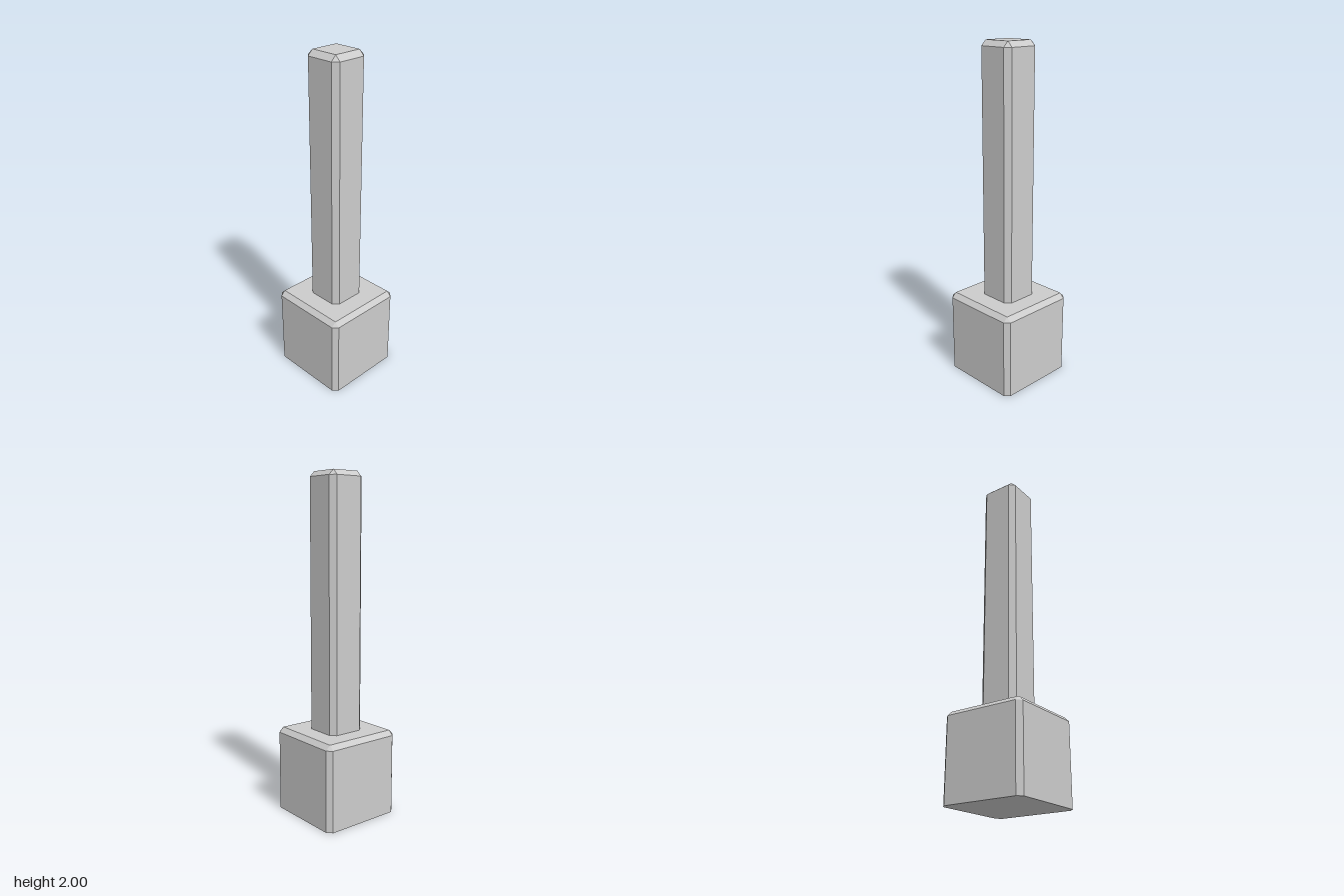
import * as THREE from 'three';
import { ConvexGeometry } from 'three/addons/geometries/ConvexGeometry.js';

const material = new THREE.MeshStandardMaterial({ color: 0xcccccc, flatShading: true });

// Square block with chamfered upright and top edges and a plain flat bottom
function chamferedBlock(name, half, bottom, top, chamfer) {
  const inner = half - chamfer;
  const points = [];
  for (const sx of [-1, 1]) {
    for (const sz of [-1, 1]) {
      for (const y of [bottom, top - chamfer]) {
        points.push(new THREE.Vector3(sx * half, y, sz * inner));
        points.push(new THREE.Vector3(sx * inner, y, sz * half));
      }
      points.push(new THREE.Vector3(sx * inner, top, sz * inner));
    }
  }
  const mesh = new THREE.Mesh(new ConvexGeometry(points), material);
  mesh.name = name;
  return mesh;
}

export function createModel() {
  const model = new THREE.Group();
  model.name = 'postOnBase';

  // Heavy square base
  model.add(chamferedBlock('base', 0.253, 0, 0.507, 0.028));

  // Slim post, seated slightly into the base
  const post = chamferedBlock('post', 0.117, 0.5, 2, 0.031);
  post.position.set(-0.001, 0, -0.001);
  model.add(post);

  return model;
}
